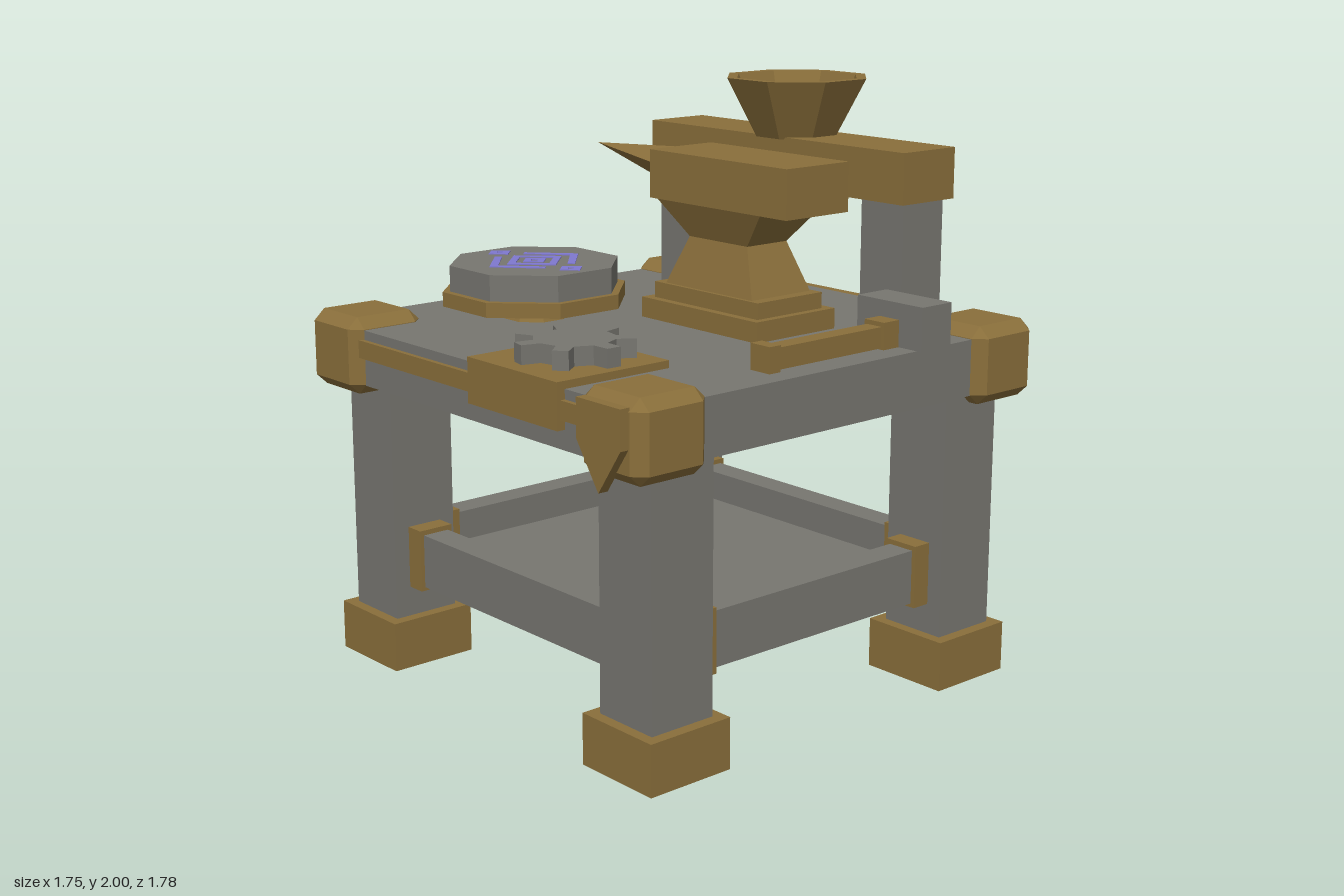
import * as THREE from 'three';
import { ConvexGeometry } from 'three/addons/geometries/ConvexGeometry.js';

export function createModel() {
  const model = new THREE.Group();
  const mat = (name, color) => Object.assign(new THREE.MeshStandardMaterial({ color }), { name });
  const stone = mat('grey stone', 0x777670);
  const brass = mat('aged brass', 0x8a6f3b);
  const glow = mat('violet rune', 0x7f78cf);

  const add = (name, geometry, material, x = 0, y = 0, z = 0) => {
    const mesh = new THREE.Mesh(geometry, material);
    mesh.name = name;
    mesh.position.set(x, y, z);
    model.add(mesh);
    return mesh;
  };
  // Box given by its limits on each axis
  const box = (name, material, x0, x1, y0, y1, z0, z1) =>
    add(name, new THREE.BoxGeometry(x1 - x0, y1 - y0, z1 - z0), material,
      (x0 + x1) / 2, (y0 + y1) / 2, (z0 + z1) / 2);
  const facet = (geometry) => {
    const g = geometry.toNonIndexed();
    g.computeVertexNormals();
    return g;
  };
  // Eight-sided drum with flat sides on the axes; radii measured to the flats
  const octagon = (name, material, top, bottom, y0, y1, x, z) => {
    const k = 1 / Math.cos(Math.PI / 8);
    const g = new THREE.CylinderGeometry(top * k, bottom * k, y1 - y0, 8).rotateY(Math.PI / 8);
    return add(name, facet(g), material, x, (y0 + y1) / 2, z);
  };
  // Rectangular frustum from half sizes [x, z] at the bottom and top
  const frustum = (name, material, low, high, y0, y1, x, z) => {
    const pts = [];
    for (const [[w, d], y] of [[low, y0], [high, y1]])
      for (const sx of [-1, 1]) for (const sz of [-1, 1]) pts.push(new THREE.Vector3(sx * w, y, sz * d));
    return add(name, new ConvexGeometry(pts), material, x, 0, z);
  };
  const polygon = (pts) => new THREE.Shape(pts.map(([x, y]) => new THREE.Vector2(x, y)));
  // Shape lying flat, extruded upward
  const slab = (name, material, shape, height, x, y, z) =>
    add(name, new THREE.ExtrudeGeometry(shape, { depth: height, bevelEnabled: false }).rotateX(-Math.PI / 2),
      material, x, y, z);

  const midZ = -0.015;

  // Table top and lower shelf
  box('tableTop', stone, -0.835, 0.835, 1.01, 1.2, -0.855, 0.82);
  box('shelf', stone, -0.66, 0.66, 0.33, 0.37, -0.64, 0.61);

  // Legs, feet and chamfered corner caps
  const capPoints = [];
  const a = 0.143, b = 0.103, h = 0.132, hb = 0.095;
  for (const sx of [-1, 1]) for (const sy of [-1, 1]) for (const sz of [-1, 1])
    for (const [x, y, z] of [[a, hb, b], [b, h, b], [b, hb, a]])
      capPoints.push(new THREE.Vector3(sx * x, sy * y, sz * z));
  for (const sx of [-1, 1]) for (const sz of [-1, 1]) {
    const x = sx * 0.677, z = midZ + sz * 0.64;
    box('leg', stone, x - 0.122, x + 0.122, 0.1, 1.05, z - 0.122, z + 0.122);
    box('foot', brass, x - 0.162, x + 0.162, 0, 0.172, z - 0.16, z + 0.16);
    add('cornerCap', new ConvexGeometry(capPoints), brass, sx * 0.732, 1.107, midZ + sz * 0.732);
  }

  // Stretchers with brass sockets
  for (const s of [-1, 1]) {
    const z = midZ + s * 0.64, x = s * 0.677;
    box('crossStretcher', stone, -0.56, 0.56, 0.29, 0.477, z - 0.05, z + 0.05);
    box('sideStretcher', stone, x - 0.05, x + 0.05, 0.29, 0.477, midZ - 0.52, midZ + 0.52);
    for (const e of [-1, 1]) {
      const cx = e * 0.52, cz = midZ + e * 0.485;
      box('crossSocket', brass, cx - 0.035, cx + 0.035, 0.277, 0.494, z - 0.065, z + 0.065);
      box('sideSocket', brass, x - 0.065, x + 0.065, 0.277, 0.494, cz - 0.035, cz + 0.035);
    }
  }

  // Edge trims and plates
  box('frontTrim', brass, -0.6, 0.6, 1.107, 1.168, 0.81, 0.837);
  box('backTrim', brass, -0.6, 0.6, 1.107, 1.168, -0.873, -0.85);
  box('frontPlate', brass, 0.04, 0.49, 1.075, 1.22, 0.81, 0.85);
  box('backPlate', brass, -0.285, 0.285, 1.075, 1.2, -0.89, -0.85);
  box('gearPlate', brass, 0.04, 0.49, 1.195, 1.225, 0.41, 0.85);

  // Pointed pendant on the front corner
  add('pendant', new THREE.ExtrudeGeometry(
    polygon([[-0.1, 1.215], [-0.1, 1.09], [0, 0.945], [0.1, 1.09], [0.1, 1.215]]),
    { depth: 0.035, bevelEnabled: false }), brass, 0.73, 0, 0.855);

  // Seven-toothed gear
  const teeth = [];
  for (let i = 0; i < 7; i++)
    for (const [r, t] of [[0.132, -0.24], [0.195, -0.15], [0.195, 0.15], [0.132, 0.24]]) {
      const angle = (i + t) * Math.PI * 2 / 7;
      teeth.push([r * Math.cos(angle), r * Math.sin(angle)]);
    }
  slab('gear', stone, polygon(teeth), 0.065, 0.262, 1.222, 0.6);

  // Rune disc on its pedestal
  const dx = -0.4, dz = 0.245;
  octagon('discPedestal', brass, 0.075, 0.105, 1.195, 1.26, dx, dz);
  octagon('discTray', brass, 0.299, 0.299, 1.255, 1.305, dx, dz);
  octagon('runeDisc', stone, 0.275, 0.275, 1.3, 1.394, dx, dz);
  const diamond = (name, outer, inner, x) => {
    const ring = (r) => [[r, 0], [0, r], [-r, 0], [0, -r]];
    const shape = polygon(ring(outer));
    if (inner) shape.holes.push(polygon(ring(inner)));
    slab(name, glow, shape, 0.005, dx + x, 1.392, dz);
  };
  diamond('runeRing', 0.118, 0.082, 0);
  diamond('runeCentre', 0.05, 0.016, 0);
  for (const s of [-1, 1]) {
    diamond('runeSide', 0.048, 0.014, s * 0.2);
    const pts = [[-0.142, 0.064], [0, 0.192], [0.142, 0.064], [0.124, 0.046], [0, 0.155], [-0.124, 0.046]];
    slab('runeChevron', glow, polygon(pts.map(([x, y]) => [x, s * y])), 0.005, dx, 1.392, dz);
  }

  // Anvil: stepped base, waist, body and horn
  const ax = 0.135, az = -0.207;
  box('anvilBase', brass, -0.155, 0.417, 1.195, 1.27, -0.39, -0.03);
  box('anvilStep', brass, -0.122, 0.39, 1.265, 1.325, -0.355, -0.06);
  frustum('anvilWaist', brass, [0.215, 0.135], [0.142, 0.09], 1.32, 1.49, ax, az);
  frustum('anvilShoulder', brass, [0.142, 0.09], [0.257, 0.141], 1.49, 1.615, ax, az);
  box('anvilBody', brass, -0.155, 0.51, 1.61, 1.775, az - 0.141, az + 0.141);
  add('anvilHorn', new ConvexGeometry([
    [-0.605, 1.745, 0], [-0.15, 1.772, 0], [-0.15, 1.722, 0.115],
    [-0.15, 1.722, -0.115], [-0.15, 1.62, 0],
  ].map((p) => new THREE.Vector3(...p))), brass, 0, 0, az);

  // Hammer lying on the table
  box('hammerHead', stone, 0.57, 0.855, 1.198, 1.345, -0.477, -0.34);
  box('hammerHandle', brass, 0.68, 0.745, 1.205, 1.275, -0.345, 0.2);
  box('hammerCollar', brass, 0.67, 0.755, 1.198, 1.29, -0.342, -0.27);
  box('hammerPommel', brass, 0.67, 0.755, 1.198, 1.285, 0.188, 0.235);

  // Rear frame
  for (const s of [-1, 1])
    box('framePost', stone, s * 0.512 - 0.095, s * 0.512 + 0.095, 1.19, 1.64, -0.7, -0.51);
  box('frameBeam', brass, -0.627, 0.627, 1.63, 1.802, -0.73, -0.483);

  // Open funnel with a thick rim
  const profile = [[0, 1.795], [0.148, 1.795], [0.258, 2], [0.222, 2], [0.145, 1.81], [0, 1.81]]
    .map(([x, y]) => new THREE.Vector2(x, y));
  add('funnel', facet(new THREE.LatheGeometry(profile, 8, Math.PI / 8)), brass, 0, 0, -0.608);

  return model;
}
